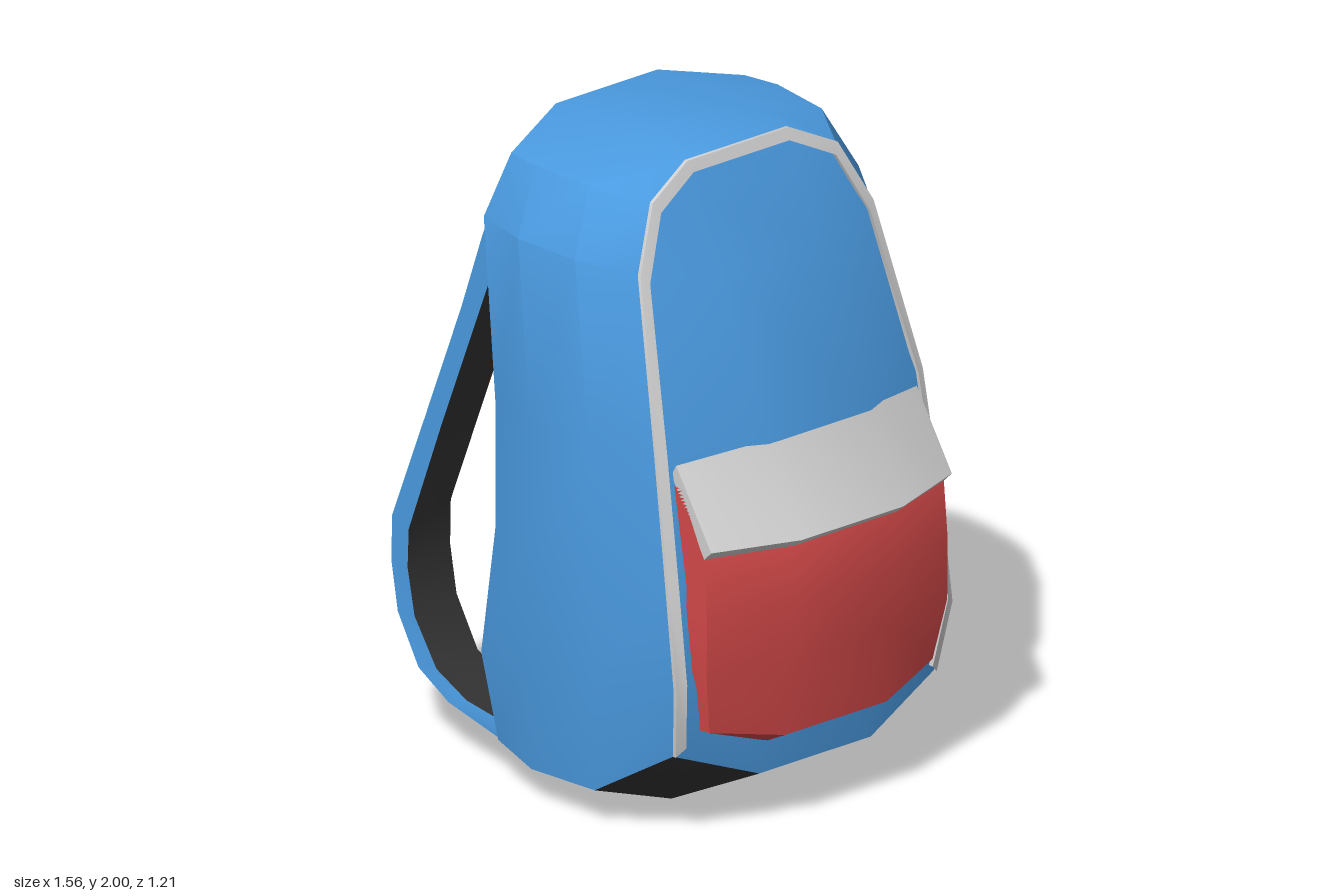
import * as THREE from 'three';
import { toCreasedNormals } from 'three/addons/utils/BufferGeometryUtils.js';

const material = (name, color) => {
  const m = new THREE.MeshStandardMaterial({ color });
  m.name = name;
  return m;
};

// Skin a grid of points; the surface faces (row direction) x (column direction)
function skin(rows, crease = 0.6) {
  const pos = [];
  for (let i = 0; i < rows.length - 1; i++) {
    for (let j = 0; j < rows[i].length - 1; j++) {
      const a = rows[i][j], b = rows[i][j + 1], c = rows[i + 1][j + 1], d = rows[i + 1][j];
      pos.push(...a, ...d, ...c, ...a, ...c, ...b);
    }
  }
  const g = new THREE.BufferGeometry();
  g.setAttribute('position', new THREE.Float32BufferAttribute(pos, 3));
  g.computeVertexNormals();
  return toCreasedNormals(g, crease);
}

const flip = ([x, y, z]) => [x, y, -z];
// Half a row (z > 0, outside to middle) completed with its mirror image
const sym = half => [...half, ...half.map(flip).reverse()];
const lerp = (a, b, t) => a + (b - a) * t;

export function createModel() {
  const blue = material('blue fabric', 0x4a9ae0);
  const black = material('black fabric', 0x343434);
  const grey = material('grey trim', 0xd0d0d0);
  const red = material('red fabric', 0xd44949);

  const model = new THREE.Group();
  model.name = 'backpack';
  const add = (name, rows, mat, crease, parent = model) => {
    const mesh = new THREE.Mesh(skin(rows, crease), mat);
    mesh.name = name;
    parent.add(mesh);
  };

  // Half outlines from wearer's side to outer side, each bottom to top
  const back = [[-.2, .08, .25], [-.16, .13, .53], [-.2, .4, .56], [-.14, .8, .56],
    [-.14, 1.2, .56], [-.2, 1.75, .55], [-.18, 1.93, .46], [-.27, 1.99, .2]];
  const midBack = [[.03, 0, .28], [.03, .105, .575], [.03, .42, .605], [.05, .8, .605],
    [.05, 1.2, .6], [0, 1.75, .6], [-.06, 1.93, .48], [-.08, 2, .2]];
  const midFront = [[.31, .015, .28], [.3, .115, .575], [.32, .45, .595], [.31, .8, .59],
    [.28, 1.2, .58], [.2, 1.73, .56], [.15, 1.92, .46], [.12, 2, .2]];
  const front = [[.62, .165, .22], [.57, .28, .515], [.605, .5, .545], [.565, .8, .54],
    [.5, 1.2, .525], [.36, 1.7, .46], [.31, 1.89, .365], [.28, 1.97, .2]];
  const rings = [back, midBack, midFront, front];

  // Body sides and top, and the dark base
  add('bodyShell', rings.map(r => sym(r.slice(1))), blue);
  add('base', rings.map(r => sym([r[1], r[0]])).reverse(), black);

  // Padded back panel
  const backMiddle = [back[0], [-.34, .4, .2], [-.28, .8, .2], [-.28, 1.2, .2],
    [-.34, 1.77, .2], [-.31, 1.87, .2], back[7]];
  add('backPanel', backMiddle.map((p, i) => sym([back[i + 1], p])), black);

  // Bulging front panel
  const frontMiddle = [front[0], [.66, .48, .2], [.67, .8, .2], [.64, 1.2, .2],
    [.43, 1.66, .2], [.33, 1.87, .2], front[7]];
  add('frontPanel', frontMiddle.map((p, i) => sym([front[i + 1], p])).reverse(), blue);

  // Piping around the front panel
  const inset = ([x, y, z], dx) => [x + dx, 1 + (y - 1) * .965, z * .945];
  const raise = ([x, y, z], dx) => [x + dx, y, z];
  add('piping', sym(front.slice(1)).map(p =>
    [inset(p, -.01), inset(p, .026), raise(p, .012), p]), grey, .5);

  // Pocket: columns run back edge, side, middle
  const pocketRow = (bx, sx, sy, sz, mx, my) =>
    sym([[bx, sy, sz], [sx, sy, sz], [mx, my, .2]]);
  add('pocket', [
    pocketRow(.49, .56, 1.1, .475, .66, 1.1),
    pocketRow(.53, .655, .91, .475, .745, .91),
    pocketRow(.55, .672, .73, .475, .755, .73),
    pocketRow(.58, .67, .54, .475, .742, .54),
    pocketRow(.58, .645, .355, .44, .71, .305),
    pocketRow(.58, .59, .35, .44, .63, .265),
  ], red, .5);

  // Flap: a closed profile with a pole at each end to cap it
  const flapRow = (sx, sy, mx, my) =>
    sym([[.61, 1.04, .475], [sx, sy, .475], [mx, my, .2]]);
  const flapUnder = flapRow(.52, 1.13, .6, 1.16);
  add('pocketFlap', [
    flapUnder,
    flapRow(.54, 1.165, .635, 1.2),
    flapRow(.69, .935, .78, .93),
    flapRow(.66, .907, .75, .905),
    flapUnder,
  ], grey, .5);

  // Shoulder straps: [outer x, outer y, inner x, inner y, near z, far z]
  const path = [
    [-.34, 1.76, -.25, 1.73, .19, .41], [-.43, 1.6, -.27, 1.62, .19, .41],
    [-.5, 1.37, -.37, 1.36, .195, .415], [-.64, 1.01, -.52, .98, .2, .42],
    [-.78, .66, -.65, .62, .21, .43], [-.78, .5, -.655, .5, .21, .43],
    [-.75, .35, -.62, .36, .215, .435], [-.65, .2, -.51, .23, .23, .45],
    [-.5, .13, -.36, .18, .25, .47], [-.17, .075, -.16, .18, .29, .51],
  ];
  const sections = path.map(([ox, oy, ix, iy, zn, zf]) => [
    [lerp(ox, ix, .55), lerp(oy, iy, .55), zn],
    [ox, oy, zn],
    [lerp(ox, ix, .45), lerp(oy, iy, .45), zf],
    [ix, iy, zf],
  ]);
  for (const side of ['left', 'right']) {
    const strap = new THREE.Group();
    strap.name = side + 'Strap';
    const place = rows => side === 'left' ? rows : rows.map(r => r.map(flip).reverse());
    add(side + 'StrapWebbing', place(sections), blue, .6, strap);
    add(side + 'StrapLining', place(sections.map(s => [s[3], s[0]])), black, .6, strap);
    model.add(strap);
  }
  return model;
}
